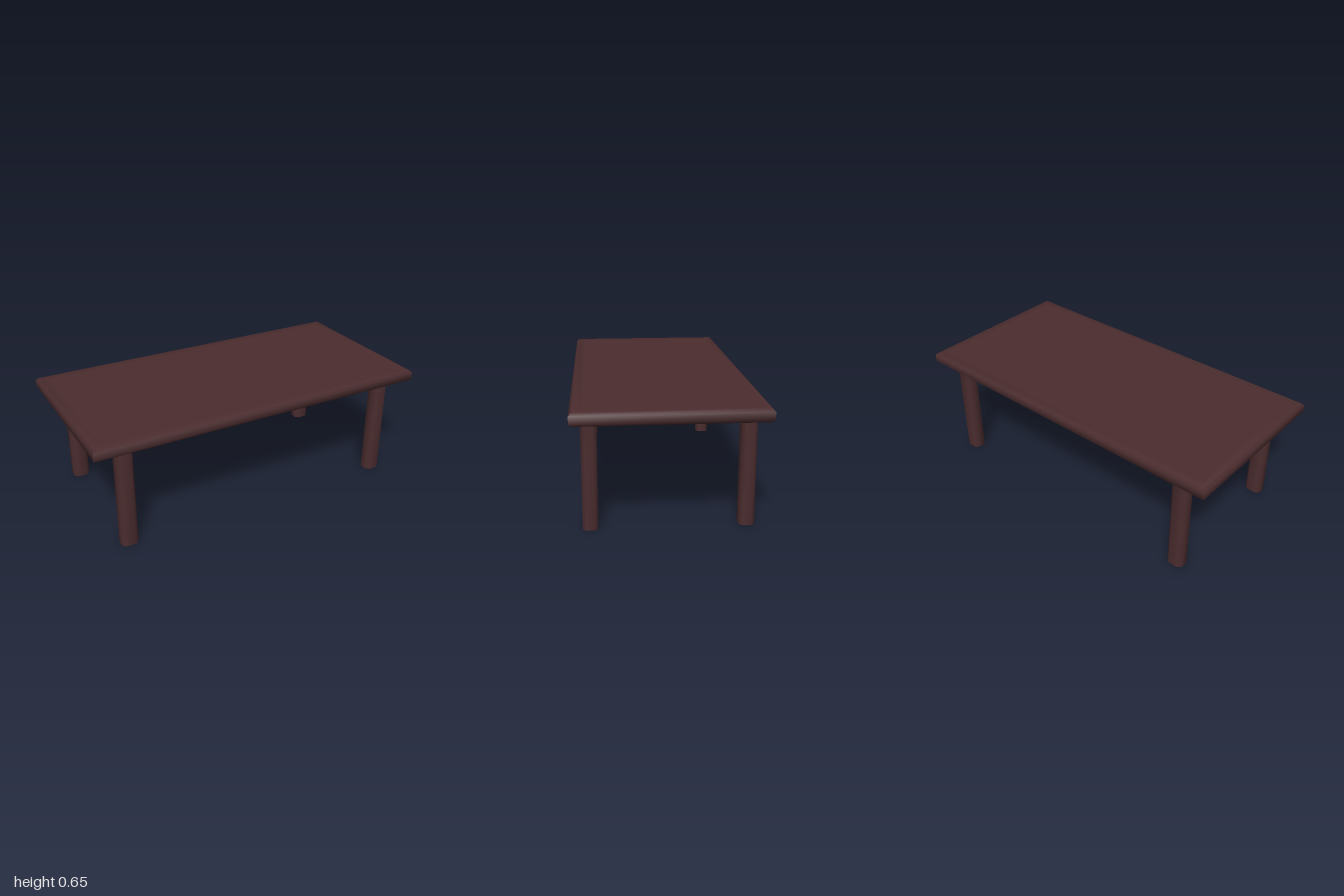
import * as THREE from 'three';
import { toCreasedNormals } from 'three/addons/utils/BufferGeometryUtils.js';

// Rectangle outline with optionally cut corners, anticlockwise from above
function outline(hx, hz, cut) {
  const corners = [[1, 1], [1, -1], [-1, -1], [-1, 1]];
  return corners.flatMap(([sx, sz]) => {
    if (!cut) return [[sx * hx, sz * hz]];
    const onX = [sx * hx, sz * (hz - cut)];
    const onZ = [sx * (hx - cut), sz * hz];
    return sx === sz ? [onZ, onX] : [onX, onZ];
  });
}

// Closed solid through rings of [y, inset], listed from bottom to top
function loft(hx, hz, cut, rings) {
  const pos = [], index = [];
  let n = 0;
  for (const [y, inset] of rings) {
    const pts = outline(hx - inset, hz - inset, cut);
    n = pts.length;
    for (const [x, z] of pts) pos.push(x, y, z);
  }
  const last = (rings.length - 1) * n;
  const low = rings.length * n, high = low + 1;
  pos.push(0, rings[0][0], 0, 0, rings[rings.length - 1][0], 0);
  for (let i = 0; i < n; i++) {
    const j = (i + 1) % n;
    for (let r = 0; r < last; r += n) {
      index.push(r + i, r + j, r + n + j, r + i, r + n + j, r + n + i);
    }
    index.push(low, j, i, high, last + i, last + j);
  }
  const geometry = new THREE.BufferGeometry();
  geometry.setAttribute('position', new THREE.Float32BufferAttribute(pos, 3));
  geometry.setIndex(index);
  return toCreasedNormals(geometry, THREE.MathUtils.degToRad(55));
}

export function createModel() {
  const table = new THREE.Group();
  table.name = 'table';
  const wood = new THREE.MeshStandardMaterial({ color: 0x4a2c2e });

  // Slab with bevelled upper and lower edges
  const slab = loft(1, 0.49, 0, [
    [0.585, 0.06], [0.585, 0.016], [0.6, 0], [0.64, 0], [0.655, 0.016], [0.655, 0.06],
  ]);
  const top = new THREE.Mesh(slab, wood);
  top.name = 'tabletop';
  table.add(top);

  // Four straight legs with softened corners, running up into the slab
  const legGeometry = loft(0.047, 0.04, 0.018, [[0, 0], [0.59, 0]]);
  for (const [sz, end] of [[1, 'front'], [-1, 'back']]) {
    for (const [sx, side] of [[1, 'Left'], [-1, 'Right']]) {
      const leg = new THREE.Mesh(legGeometry, wood);
      leg.name = `${end}${side}Leg`;
      leg.position.set(sx * 0.819, 0, sz * 0.4);
      table.add(leg);
    }
  }
  return table;
}
